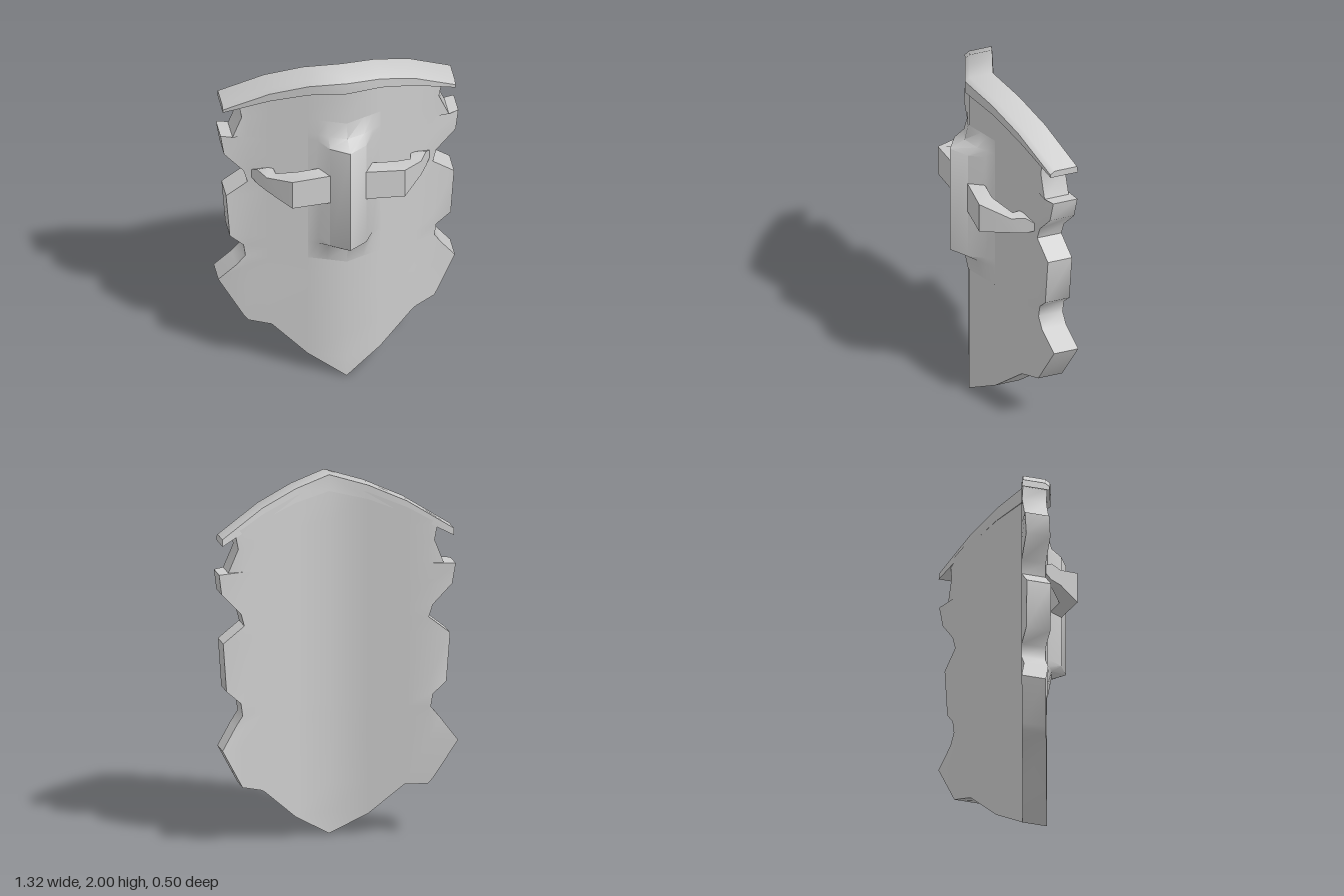
import * as THREE from 'three';
import { toCreasedNormals } from 'three/addons/utils/BufferGeometryUtils.js';

// Skin a list of cross-sections; each runs counter-clockwise about the direction of travel.
function loft(name, sections, { closed = true, caps = false } = {}) {
  const n = sections[0].length, index = [];
  const steps = closed ? n : n - 1;
  for (let i = 0; i < sections.length - 1; i++) {
    for (let j = 0; j < steps; j++) {
      const k = (j + 1) % n;
      const a = i * n + j, b = i * n + k, c = b + n, d = a + n;
      index.push(a, b, c, a, c, d);
    }
  }
  if (caps) {
    const last = (sections.length - 1) * n;
    for (let j = 1; j < n - 1; j++) {
      index.push(0, j + 1, j, last, last + j, last + j + 1);
    }
  }
  const geometry = new THREE.BufferGeometry();
  geometry.setAttribute('position', new THREE.Float32BufferAttribute(sections.flat(2), 3));
  geometry.setIndex(index);
  const material = new THREE.MeshStandardMaterial({ color: 0xcccccc });
  if (!closed) material.side = THREE.DoubleSide;
  const mesh = new THREE.Mesh(toCreasedNormals(geometry, 0.87), material);
  mesh.name = name;
  return mesh;
}

// How far the plate sweeps back: a V that flattens near the sides, except at the low corners.
function sweep(x, y) {
  const a = Math.abs(x);
  if (y < 0.6) return 0.385 * a;
  return 0.39 * (Math.min(a, 0.53) + 2 * Math.max(0, a - 0.62));
}

// Brow curve: half-width, top height, bottom height
const brow = [[0, 2.0, 1.91], [0.2, 1.95, 1.873], [0.4, 1.87, 1.803], [0.64, 1.728, 1.69]];

function plateTop(x) {
  const a = Math.abs(x);
  const i = a < 0.2 ? 0 : a < 0.4 ? 1 : 2;
  const [x0, t0, b0] = brow[i], [x1, t1, b1] = brow[i + 1];
  return THREE.MathUtils.mapLinear(a, x0, x1, (t0 + b0) / 2, (t1 + b1) / 2);
}

function createPlate() {
  // height, half-width on +x, half-width on -x
  const rows = [
    [0, 0, 0], [0.12, 0.2, 0.2], [0.29, 0.39, 0.385], [0.30, 0.41, 0.505], [0.33, 0.52, 0.53],
    [0.55, 0.64, 0.66], [0.67, 0.56, 0.57], [0.73, 0.52, 0.52], [0.80, 0.53, 0.53],
    [0.87, 0.61, 0.605], [1.14, 0.63, 0.625], [1.23, 0.51, 0.51], [1.30, 0.53, 0.53],
    [1.415, 0.64, 0.635], [1.53, 0.657, 0.652], [1.532, 0.60, 0.59], [1.66, 0.545, 0.54],
    [1.74, 0.56, 0.555], [2, 0.56, 0.555],
  ];
  const columns = [0.2, 0.4, 0.51];
  return loft('shieldPlate', rows.map(([y, right, left]) => {
    const xs = [
      -left, ...columns.map((c) => -Math.min(c, left)).reverse(), 0,
      ...columns.map((c) => Math.min(c, right)), right,
    ];
    const at = (x, z) => {
      const h = Math.min(y, plateTop(x));
      return [x, h, z - sweep(x, h)];
    };
    return [...xs.map((x) => at(x, 0.14)), ...xs.reverse().map((x) => at(x, 0))];
  }));
}

function createRim() {
  const mirrored = brow.slice(1).reverse().map(([x, t, b]) => [-x, t, b]);
  return loft('topRim', [...mirrored, ...brow].map(([x, top, bottom]) => {
    const back = 0.375 * Math.abs(x), front = 0.385 * Math.abs(x);
    return [
      [x, bottom, 0.16 - front], [x, bottom, -0.005 - back], [x, top, -back],
      [x, top, 0.135 - front], [x, top - 0.018, 0.162 - front],
    ];
  }), { caps: true });
}

function createBoss() {
  // Depth of each row at x = 0, 0.1, 0.15 and 0.2
  const flat = [0.144, 0.105, 0.086, 0.067];
  const shoulder = [0.165, 0.13, 0.095, 0.067];
  const ridge = [0.25, 0.185, 0.1, 0.067];
  const rows = [
    [0.77, flat], [0.88, shoulder], [0.92, ridge],
    [1.57, ridge], [1.61, shoulder], [1.70, flat],
  ];
  const xs = [0, 0.1, 0.15, 0.2];
  return loft('centreBoss', rows.map(([y, z]) => [
    ...xs.slice(1).map((x, i) => [-x, y, z[i + 1]]).reverse(),
    ...xs.map((x, i) => [x, y, z[i]]),
  ]), { closed: false });
}

function createArm(side) {
  // front x, front z, back x, back z, low y, high y
  const stations = [
    [0.08, 0.185, 0.08, 0.1, 1.21, 1.39],
    [0.31, 0.2, 0.27, 0.11, 1.21, 1.385],
    [0.425, 0.06, 0.37, 0.03, 1.24, 1.33],
    [0.465, -0.01, 0.38, -0.02, 1.245, 1.34],
    [0.49, -0.05, 0.42, -0.06, 1.265, 1.315],
  ];
  const sections = stations.map(([fx, fz, bx, bz, low, high]) => [
    [side * fx, low, fz], [side * bx, low, bz], [side * bx, high, bz], [side * fx, high, fz],
  ]);
  if (side < 0) sections.reverse();
  return loft(side > 0 ? 'leftArm' : 'rightArm', sections, { caps: true });
}

export function createModel() {
  const model = new THREE.Group();
  model.name = 'shield';
  model.add(createPlate(), createRim(), createBoss(), createArm(1), createArm(-1));
  return model;
}
